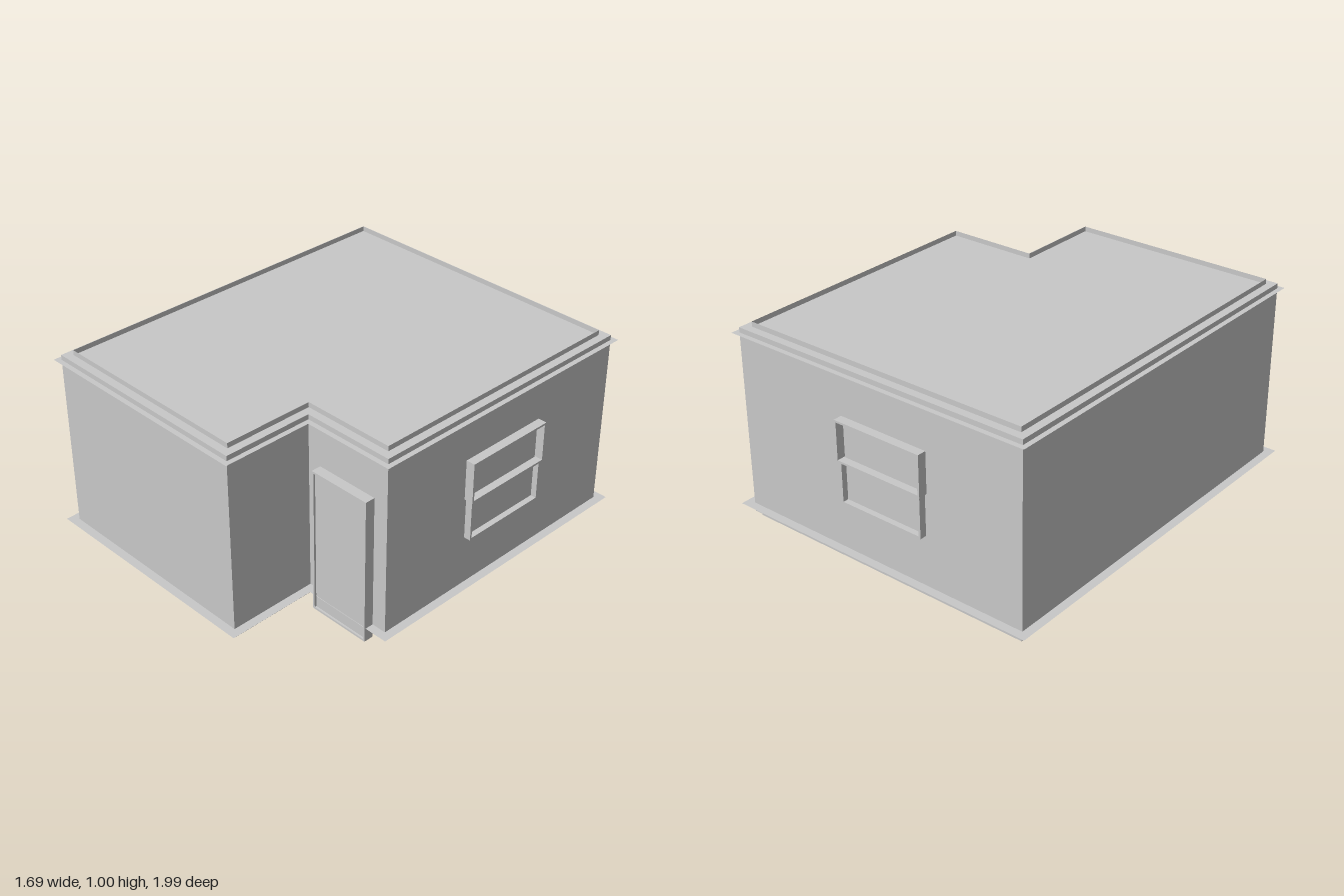
import * as THREE from 'three';

const plaster = new THREE.MeshStandardMaterial({ color: 0xc8c8c8, side: THREE.DoubleSide });
plaster.name = 'light grey';

// L-shaped plan, grown outward by d on every side
function plan(d, Type = THREE.Shape) {
  const pts = [
    [-0.8 - d, -0.953 - d], [0.8 + d, -0.953 - d], [0.8 + d, 0.5 + d],
    [0.33 + d, 0.5 + d], [0.33 + d, 0.953 + d], [-0.8 - d, 0.953 + d],
  ];
  // shape y becomes world -z once laid flat
  return new Type(pts.map(([x, z]) => new THREE.Vector2(x, -z)));
}

function addMesh(parent, name, geometry) {
  const mesh = new THREE.Mesh(geometry, plaster);
  mesh.name = name;
  parent.add(mesh);
  return mesh;
}

// Solid slab of the plan between two heights
function slab(d, y0, y1) {
  const g = new THREE.ExtrudeGeometry(plan(d), { depth: y1 - y0, bevelEnabled: false });
  return g.rotateX(-Math.PI / 2).translate(0, y0, 0);
}

// Flat ledge running round the walls
function ledge(out, y) {
  const s = plan(out);
  s.holes.push(plan(-0.002, THREE.Path));
  return new THREE.ShapeGeometry(s).rotateX(-Math.PI / 2).translate(0, y, 0);
}

// Thin upright curb that follows the plan
function curb(d, y0, y1) {
  const pts = plan(d).getPoints();
  const pos = [];
  pts.forEach((a, i) => {
    const b = pts[(i + 1) % pts.length];
    const q = [[a.x, y0, -a.y], [b.x, y0, -b.y], [b.x, y1, -b.y], [a.x, y1, -a.y]];
    [0, 1, 2, 0, 2, 3].forEach((k) => pos.push(...q[k]));
  });
  const g = new THREE.BufferGeometry();
  g.setAttribute('position', new THREE.Float32BufferAttribute(pos, 3));
  g.computeVertexNormals();
  return g;
}

// Rectangular frame standing out from z = 0
function frame(w, h, bar, depth) {
  const rect = (T, a, b) => new T([[-a, -b], [a, -b], [a, b], [-a, b]].map(([x, y]) => new THREE.Vector2(x, y)));
  const s = rect(THREE.Shape, w / 2, h / 2);
  s.holes.push(rect(THREE.Path, w / 2 - bar, h / 2 - bar));
  return new THREE.ExtrudeGeometry(s, { depth, bevelEnabled: false });
}

// Sash window: deeper upper sash, shallower lower sash, panes near the wall
function makeWindow() {
  const win = new THREE.Group();
  win.name = 'window';
  addMesh(win, 'upperSash', frame(0.48, 0.205, 0.01, 0.045)).position.y = 0.1025;
  addMesh(win, 'lowerSash', frame(0.46, 0.215, 0.01, 0.035)).position.y = -0.1025;
  addMesh(win, 'pane', new THREE.BoxGeometry(0.45, 0.4, 0.008)).position.z = 0.002;
  return win;
}

export function createModel() {
  const house = new THREE.Group();
  house.name = 'house';

  // Body
  addMesh(house, 'base', slab(-0.02, 0, 0.025));
  addMesh(house, 'walls', slab(0, 0.025, 0.975));
  addMesh(house, 'roofCurb', curb(-0.04, 0.975, 1));
  addMesh(house, 'baseLedge', ledge(0.043, 0.07));
  addMesh(house, 'corniceLedge', ledge(0.025, 0.95));

  // Door in the front recess
  const door = new THREE.Group();
  door.name = 'door';
  addMesh(door, 'doorFrame', frame(0.325, 0.745, 0.01, 0.05));
  addMesh(door, 'doorLeaf', new THREE.BoxGeometry(0.31, 0.73, 0.04)).position.z = 0.02;
  door.position.set(0.5625, 0.3725, 0.5);
  house.add(door);

  // Windows on the back and on the +x side
  const back = makeWindow();
  back.rotation.y = Math.PI;
  back.position.set(-0.05, 0.535, -0.953);
  const side = makeWindow();
  side.rotation.y = Math.PI / 2;
  side.position.set(0.8, 0.535, -0.225);
  house.add(back, side);

  return house;
}
